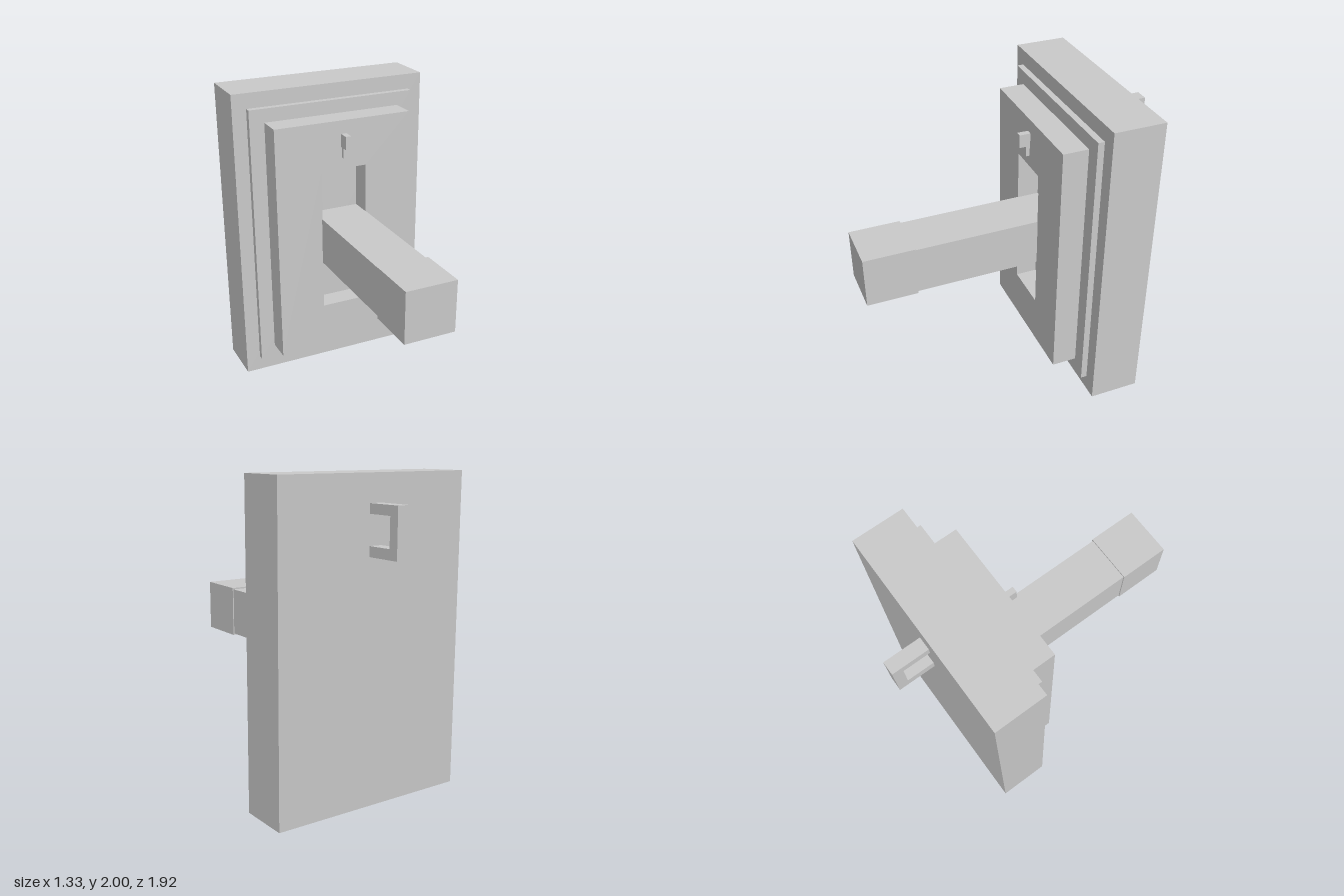
import * as THREE from 'three';

const material = new THREE.MeshStandardMaterial({ color: 0xcccccc, flatShading: true });

// Closed rectangle path
function rect(path, x0, x1, y0, y1) {
  path.moveTo(x0, y0);
  path.lineTo(x1, y0);
  path.lineTo(x1, y1);
  path.lineTo(x0, y1);
  path.closePath();
  return path;
}

function extrude(shape, depth) {
  return new THREE.ExtrudeGeometry(shape, { depth, bevelEnabled: false });
}

export function createModel() {
  const model = new THREE.Group();
  model.name = 'leverSwitch';

  function add(name, geometry) {
    const mesh = new THREE.Mesh(geometry, material);
    mesh.name = name;
    model.add(mesh);
    return mesh;
  }

  // Box centred on x = 0, given by half width and ranges in y and z
  function box(name, halfWidth, y0, y1, z0, z1) {
    const mesh = add(name, new THREE.BoxGeometry(halfWidth * 2, y1 - y0, z1 - z0));
    mesh.position.set(0, (y0 + y1) / 2, (z0 + z1) / 2);
  }

  // Stepped wall plate
  box('backPlate', 0.665, 0, 2, -0.718, -0.387);
  box('rim', 0.57, 0.105, 1.9, -0.387, -0.346);

  // Raised panel with the lever slot, closed by a floor behind it
  const slotFloor = -0.325;
  const panel = rect(new THREE.Shape(), -0.47, 0.47, 0.195, 1.81);
  panel.holes.push(rect(new THREE.Path(), -0.157, 0.157, 0.515, 1.49));
  add('slottedPanel', extrude(panel, -0.182 - slotFloor)).position.z = slotFloor;
  box('slotFloor', 0.47, 0.195, 1.81, -0.346, slotFloor);

  // Lever with a slightly thicker grip
  box('lever', 0.16, 0.845, 1.16, slotFloor, 0.63);
  box('leverGrip', 0.167, 0.835, 1.17, 0.63, 0.96);

  // Small indicator above the slot
  box('indicatorHead', 0.019, 1.635, 1.722, -0.182, -0.111);
  box('indicatorPin', 0.014, 1.565, 1.635, -0.182, -0.158);

  // U-shaped handle on the back, profile drawn as (distance behind plate, y)
  const handle = new THREE.Shape([
    [0, 1.525], [0.239, 1.525], [0.239, 1.83], [0, 1.83],
    [0, 1.77], [0.175, 1.77], [0.175, 1.588], [0, 1.588],
  ].map(([d, y]) => new THREE.Vector2(d, y)));
  const backHandle = add('backHandle', extrude(handle, 0.086).translate(0, 0, -0.043));
  backHandle.rotation.y = Math.PI / 2;
  backHandle.position.z = -0.718;

  return model;
}
